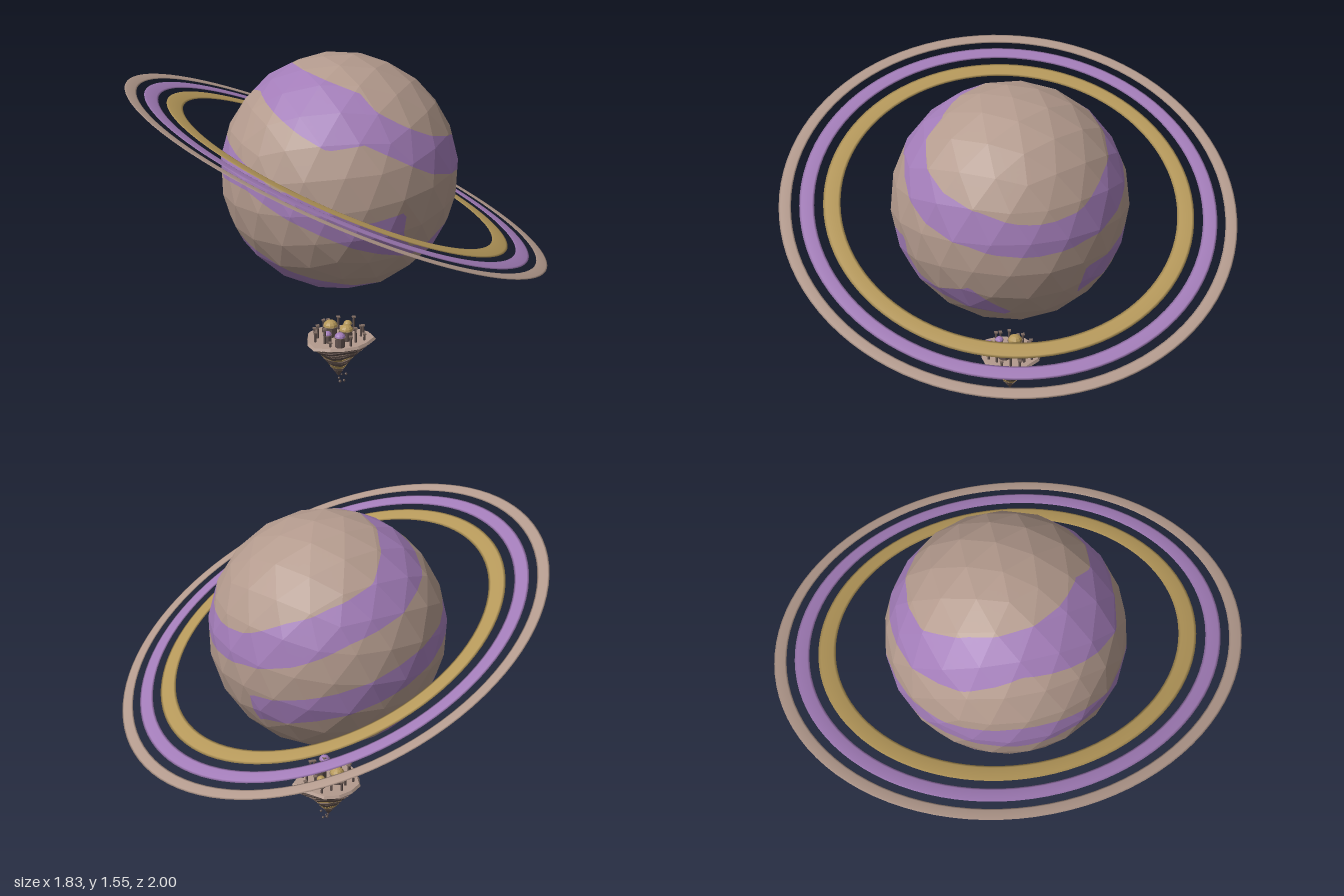
import * as THREE from 'three';

const mat = (name, color) => {
  const m = new THREE.MeshStandardMaterial({ color, flatShading: false });
  m.name = name;
  return m;
};
const tan = mat('dusty tan', 0xb39a8d);
const purple = mat('violet', 0xa27cb8);
const gold = mat('old gold', 0xb5985a);
const stone = mat('dark stone', 0x5f504c);
const earth = mat('brown rock', 0x7d6a61);

const TILT = -0.419, R = 0.522;

// Band edges around the planet: [angle in degrees, lower height, upper height]
const bands = [
  [[-180, .21, .365], [-150, .15, .35], [-120, .16, .315], [-90, .2, .34], [-60, .2, .35], [-30, .215, .33],
    [0, .217, .335], [33, .224, .355], [60, .209, .345], [86, .227, .352], [103, .233, .363], [118, .154, .398],
    [134, .159, .39], [180, .21, .365]],
  [[-180, -.2, -.043], [-140, -.15, -.05], [-100, -.12, 0], [-60, -.08, .05], [-29, -.06, .083], [-24, -.09, -.1],
    [5, -.12, -.13], [11, -.14, -.09], [28, -.14, .024], [45, -.14, -.09], [57, -.16, -.112], [66, -.17, -.06],
    [70, -.175, .04], [87, -.185, -.06], [123, -.18, -.055], [132, -.175, -.09], [150, -.16, -.07], [180, -.2, -.043]],
  [[-180, -1, -.41], [-130, -1, -.3], [-80, -1, -.36], [-30, -1, -.37], [20, -1, -.34], [60, -1, -.39],
    [110, -1, -.43], [180, -1, -.41]],
];

// Positive inside a band, negative outside
function bandField(p) {
  const a = THREE.MathUtils.radToDeg(Math.atan2(p.z, p.x));
  return Math.max(...bands.map((b) => {
    let i = 1;
    while (i < b.length - 1 && b[i][0] < a) i++;
    const t = (a - b[i - 1][0]) / (b[i][0] - b[i - 1][0]);
    const at = (k) => THREE.MathUtils.lerp(b[i - 1][k], b[i][k], t);
    return Math.min(p.y - at(1), at(2) - p.y);
  }));
}

// Keep the part of a triangle where sign * field is positive
function clip(tri, sign, out) {
  const poly = [];
  tri.forEach((a, i) => {
    const b = tri[(i + 1) % 3], fa = a.f * sign, fb = b.f * sign;
    if (fa >= 0) poly.push(a.p);
    if ((fa >= 0) !== (fb >= 0)) poly.push(a.p.clone().lerp(b.p, fa / (fa - fb)));
  });
  for (let i = 2; i < poly.length; i++) {
    for (const p of [poly[0], poly[i - 1], poly[i]]) out.push(p.x, p.y, p.z);
  }
}

// Faceted globe, each facet cut along the band edges
function makePlanet() {
  const group = new THREE.Group();
  group.name = 'planet';
  const pos = new THREE.IcosahedronGeometry(R, 3).getAttribute('position');
  const inside = [], outside = [], N = 6;
  for (let i = 0; i < pos.count; i += 3) {
    const [A, B, C] = [0, 1, 2].map((k) => new THREE.Vector3().fromBufferAttribute(pos, i + k));
    const at = (u, v) => {
      const p = A.clone().addScaledVector(B.clone().sub(A), u / N).addScaledVector(C.clone().sub(A), v / N);
      return { p, f: bandField(p) };
    };
    for (let u = 0; u < N; u++) for (let v = 0; v < N - u; v++) {
      const tris = [[at(u, v), at(u + 1, v), at(u, v + 1)]];
      if (u + v < N - 1) tris.push([at(u + 1, v), at(u + 1, v + 1), at(u, v + 1)]);
      for (const t of tris) { clip(t, 1, inside); clip(t, -1, outside); }
    }
  }
  for (const [name, arr, m] of [['planetBands', inside, purple], ['planetSurface', outside, tan]]) {
    const g = new THREE.BufferGeometry();
    g.setAttribute('position', new THREE.Float32BufferAttribute(arr, 3));
    g.computeVertexNormals();
    add(group, name, g, m);
  }
  return group;
}

function add(parent, name, geo, m, x = 0, y = 0, z = 0) {
  const mesh = new THREE.Mesh(geo, m);
  mesh.name = name;
  mesh.position.set(x, y, z);
  parent.add(mesh);
  return mesh;
}

// Flat-faced copy of a geometry
function facet(geo) {
  const g = geo.index ? geo.toNonIndexed() : geo;
  g.computeVertexNormals();
  return g;
}

// Rock slab with a ragged outline
function slab(rTop, rBottom, h, seed) {
  const g = new THREE.CylinderGeometry(rTop, rBottom, h, 14);
  const p = g.getAttribute('position');
  for (let i = 0; i < p.count; i++) {
    const a = Math.atan2(p.getZ(i), p.getX(i));
    const k = 1 + 0.07 * Math.sin(3 * a + seed) + 0.05 * Math.sin(5 * a + seed * 2.3);
    p.setX(i, p.getX(i) * k);
    p.setZ(i, p.getZ(i) * k * 0.88);
  }
  return facet(g);
}

function makeIsland() {
  const island = new THREE.Group();
  island.name = 'floatingIsland';
  // Stacked strata narrowing to a point: top height, top radius, bottom radius, thickness, colour
  const strata = [
    [.228, .15, .158, .012, tan], [.217, .155, .135, .016, earth], [.202, .143, .118, .02, stone],
    [.183, .122, .1, .018, earth], [.166, .104, .084, .02, stone], [.147, .086, .07, .014, gold],
    [.134, .076, .058, .02, earth], [.115, .06, .046, .018, stone], [.098, .048, .034, .018, gold],
    [.081, .037, .022, .018, earth], [.064, .024, .003, .03, stone],
  ];
  strata.forEach(([y, a, b, h, m], i) =>
    add(island, 'rockLayer', slab(a, b, h, 0.6 + i * 0.35), m, -0.004, y - h / 2, 0));

  // Broken columns around the rim
  for (let i = 0; i < 16; i++) {
    const a = i / 16 * Math.PI * 2 + 0.15, r = i % 2 ? .122 : .1;
    const h = [.062, .045, .07, .03][(i * 3) % 4] - (i % 5 === 0 ? .01 : 0);
    const x = Math.cos(a) * r, z = Math.sin(a) * r * .88;
    add(island, 'column', facet(new THREE.CylinderGeometry(.005, .006, h, 6)), stone, x, .228 + h / 2, z);
    add(island, 'columnCap', new THREE.BoxGeometry(.016, .006, .016), earth, x, .228 + h, z);
  }

  // Domed halls: x, z, drum radius, drum height, dome colour
  const halls = [[-.02, .098, .025, .045, purple], [.025, .03, .032, .045, gold],
    [-.035, -.03, .034, .045, gold], [.05, -.045, .02, .04, gold], [-.065, .04, .02, .035, purple]];
  for (const [x, z, r, h, m] of halls) {
    add(island, 'hall', facet(new THREE.CylinderGeometry(r * .85, r * .95, h, 8)), stone, x, .228 + h / 2, z);
    add(island, 'hallCornice', facet(new THREE.CylinderGeometry(r * 1.1, r, .006, 8)), earth, x, .228 + h, z);
    const dome = new THREE.SphereGeometry(r, 10, 4, 0, Math.PI * 2, 0, Math.PI / 2);
    dome.scale(1, .85, 1);
    add(island, 'dome', facet(dome), m, x, .23 + h, z);
  }

  // Loose rocks under the tip
  const rocks = [[0, .008, .012, .008], [.02, .01, .01, .007], [.028, .045, .016, .007],
    [-.004, .024, .008, .006], [.012, .034, -.006, .005]];
  for (const [x, y, z, r] of rocks) add(island, 'looseRock', new THREE.IcosahedronGeometry(r, 0), stone, x, y, z);
  return island;
}

export function createModel() {
  const model = new THREE.Group();
  model.name = 'ringedPlanet';

  // Planet and its three flat rings share one tilt
  const tilted = new THREE.Group();
  tilted.name = 'tiltedPlanet';
  tilted.position.y = 1.035;
  tilted.rotation.z = TILT;
  tilted.add(makePlanet());
  for (const [name, inner, outer, m] of [['innerRing', .735, .81, gold],
    ['middleRing', .848, .912, purple], ['outerRing', .947, 1, tan]]) {
    const g = new THREE.TorusGeometry((inner + outer) / 2, (outer - inner) / 2, 8, 96);
    g.scale(1, 1, .08);
    g.rotateX(-Math.PI / 2);
    add(tilted, name, g, m);
  }
  model.add(tilted, makeIsland());
  return model;
}
